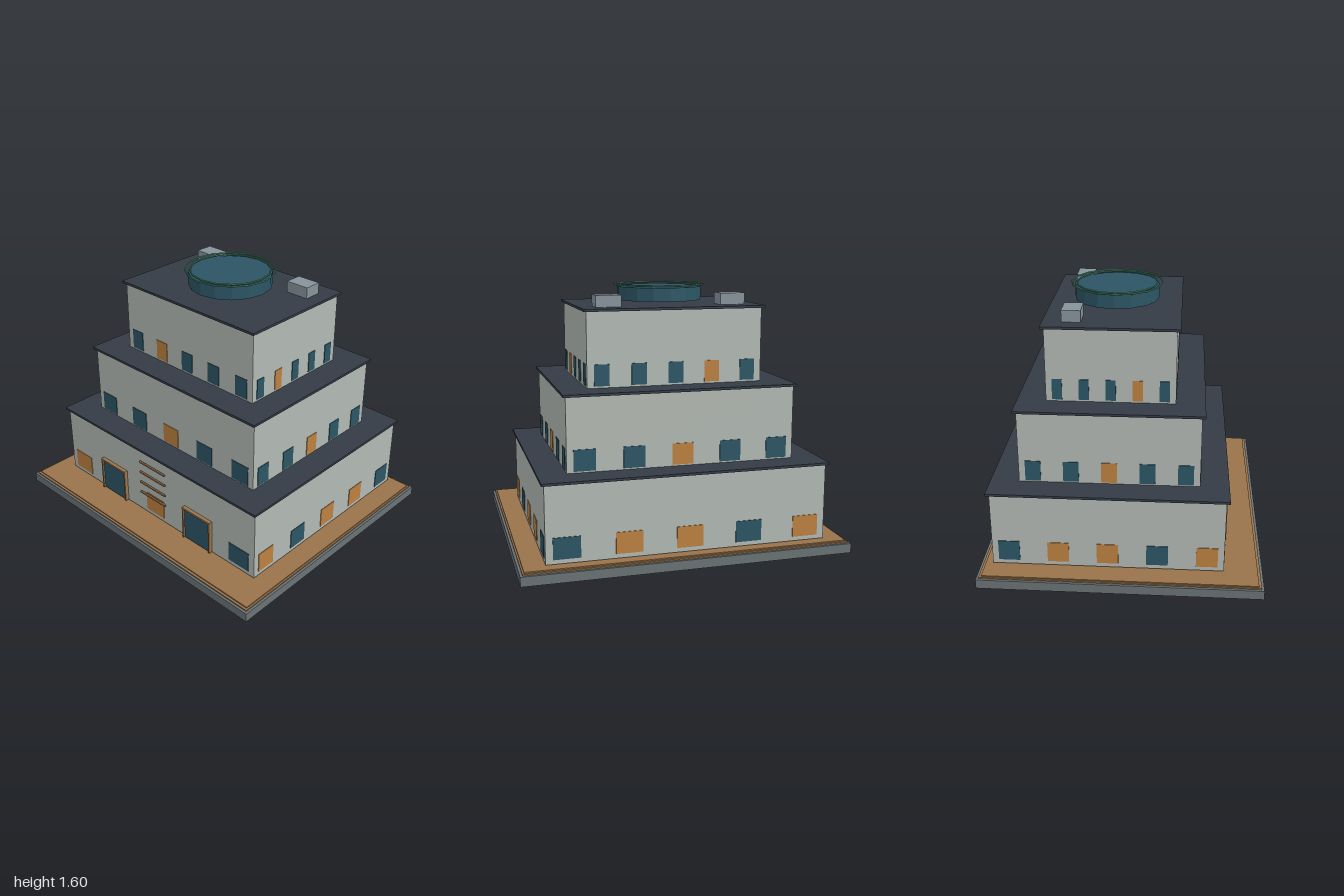
import * as THREE from 'three';

const mat = (color) => new THREE.MeshStandardMaterial({ color, flatShading: true });
const M = {
  wall: mat(0xb2b9b3), roof: mat(0x343b46), glass: mat(0x2c5565), lit: mat(0xbc8040),
  wood: mat(0x98734b), stone: mat(0x6a7275), metal: mat(0x86939b), green: mat(0x4a9478),
};
const CZ = -0.077; // the tower sits slightly behind the centre of its plinth

function add(parent, name, geometry, material, x, y, z) {
  const mesh = new THREE.Mesh(geometry, material);
  mesh.name = name;
  mesh.position.set(x, y, z);
  parent.add(mesh);
  return mesh;
}

// Box given by its min and max on each axis
function box(parent, name, material, [x0, x1], [y0, y1], [z0, z1]) {
  return add(parent, name, new THREE.BoxGeometry(x1 - x0, y1 - y0, z1 - z0), material,
    (x0 + x1) / 2, (y0 + y1) / 2, (z0 + z1) / 2);
}

// One storey: walls, overhanging roof slab and windows on four sides
function storey(t) {
  const g = new THREE.Group();
  g.name = t.name;
  const { w, d, y0, y1 } = t;
  box(g, 'walls', M.wall, [-w, w], [y0, y1], [CZ - d, CZ + d]);
  box(g, 'roofSlab', M.roof, [-w - 0.016, w + 0.016], [y1, y1 + 0.015], [CZ - d - 0.02, CZ + d + 0.02]);
  const [b, top] = t.windowY;
  const h = top - b, y = (top + b) / 2, thick = 0.008;
  [...t.pattern].forEach((c, i) => {
    const m = c === 'O' ? M.lit : M.glass;
    const x = (i - 2) * t.stepX, z = CZ + (2 - i) * t.stepZ;
    for (const s of [-1, 1]) {
      // the doors take the place of two front windows
      if (!(t.doors && s === 1 && i % 2 === 1)) {
        add(g, 'window', new THREE.BoxGeometry(t.winX, h, thick), m, x, y, CZ + s * d);
      }
      add(g, 'window', new THREE.BoxGeometry(thick, h, t.winZ), m, s * w, y, z);
    }
  });
  return g;
}

// Door panel inside a three-sided frame
function door(x) {
  const g = new THREE.Group();
  g.name = 'door';
  const z = [0.61, 0.638];
  box(g, 'doorPanel', M.glass, [x - 0.107, x + 0.107], [0.083, 0.297], [0.61, 0.627]);
  for (const s of [-1, 1]) {
    add(g, 'doorJamb', new THREE.BoxGeometry(0.011, 0.229, 0.028), M.wood, x + s * 0.112, 0.1975, 0.624);
  }
  box(g, 'doorLintel', M.wood, [x - 0.1175, x + 0.1175], [0.299, 0.312], z);
  return g;
}

export function createModel() {
  const model = new THREE.Group();
  model.name = 'steppedTower';

  // Plinth and terrace
  box(model, 'plinth', M.stone, [-1, 1], [0, 0.058], [-0.845, 0.845]);
  box(model, 'terraceEdge', M.wood, [-0.985, 0.985], [0.058, 0.066], [-0.83, 0.83]);
  box(model, 'terrace', M.wood, [-0.975, 0.975], [0.066, 0.073], [-0.815, 0.815]);

  // Three shrinking storeys
  const tiers = [
    { name: 'lowerStorey', w: 0.848, d: 0.69, y0: 0.082, y1: 0.545, windowY: [0.109, 0.238],
      pattern: 'OTOOT', stepX: 0.3625, stepZ: 0.294, winX: 0.16, winZ: 0.128, doors: true },
    { name: 'middleStorey', w: 0.693, d: 0.537, y0: 0.56, y1: 1.004, windowY: [0.569, 0.697],
      pattern: 'TTOTT', stepX: 0.294, stepZ: 0.226, winX: 0.13, winZ: 0.093 },
    { name: 'upperStorey', w: 0.538, d: 0.383, y0: 1.019, y1: 1.466, windowY: [1.03, 1.158],
      pattern: 'TOTTT', stepX: 0.225, stepZ: 0.158, winX: 0.092, winZ: 0.06 },
  ];
  for (const t of tiers) model.add(storey(t));

  // Doors and the slats between them
  for (const x of [-0.387, 0.387]) model.add(door(x));
  for (let i = 0; i < 4; i++) {
    box(model, 'slat', M.wood, [-0.116, 0.114], [0.231 + i * 0.077, 0.242 + i * 0.077], [0.627, 0.638]);
  }

  // Roof pool with two thin rails
  add(model, 'roofPool', new THREE.CylinderGeometry(0.262, 0.262, 0.083, 16), M.glass, 0, 1.543, CZ);
  for (const r of [0.282, 0.25]) {
    add(model, 'poolRail', new THREE.TorusGeometry(r, 0.005, 6, 16), M.green, 0, 1.596, CZ)
      .rotation.x = Math.PI / 2;
  }

  // Rooftop units
  for (const s of [-1, 1]) {
    add(model, 'roofUnit', new THREE.BoxGeometry(0.155, 0.07, 0.113), M.metal, s * 0.385, 1.516, -0.31);
  }
  return model;
}
